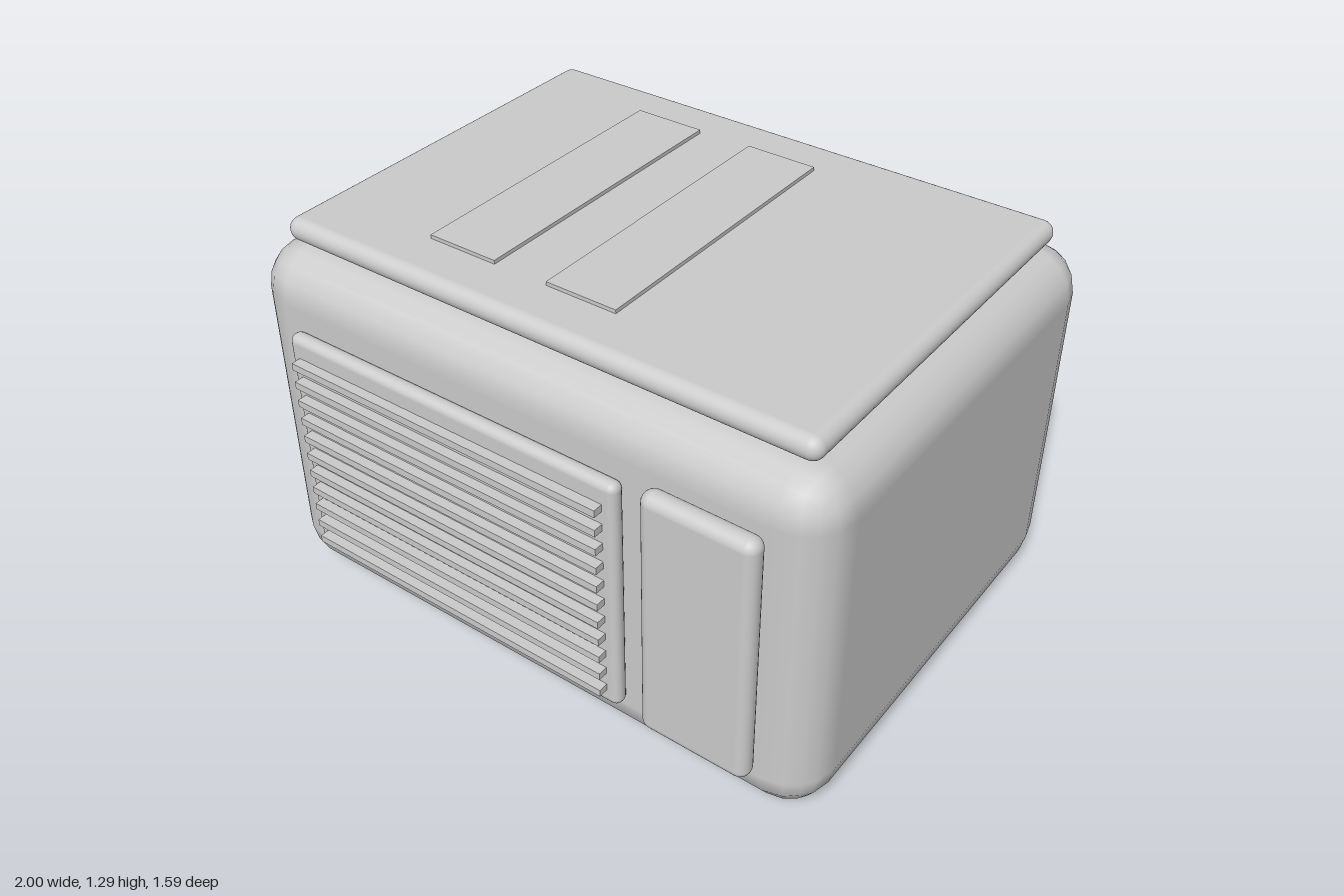
import * as THREE from 'three';
import { RoundedBoxGeometry } from 'three/addons/geometries/RoundedBoxGeometry.js';

const material = new THREE.MeshStandardMaterial({ color: 0xcccccc });

// Adds a box spanning [min, max] on each axis; a radius rounds its edges.
function addBox(parent, name, [x0, x1], [y0, y1], [z0, z1], radius = 0, segments = 2) {
  const size = [x1 - x0, y1 - y0, z1 - z0];
  const geometry = radius
    ? new RoundedBoxGeometry(...size, segments, radius)
    : new THREE.BoxGeometry(...size);
  const mesh = new THREE.Mesh(geometry, material);
  mesh.name = name;
  mesh.position.set((x0 + x1) / 2, (y0 + y1) / 2, (z0 + z1) / 2);
  parent.add(mesh);
  return mesh;
}

export function createModel() {
  const model = new THREE.Group();
  model.name = 'applianceBox';

  // Housing and overlapping lid
  addBox(model, 'body', [-1, 1], [0, 1.2], [-0.795, 0.705], 0.15, 2);
  addBox(model, 'lid', [-0.908, 0.908], [1.2, 1.275], [-0.705, 0.615], 0.0375, 4);

  // Two long plates on the lid
  for (const x of [-0.483, -0.06]) {
    addBox(model, 'topPlate', [x, x + 0.238], [1.265, 1.287], [-0.54, 0.447]);
  }

  // Front grille: backing panel with horizontal slats
  const grille = new THREE.Group();
  grille.name = 'grille';
  model.add(grille);
  addBox(grille, 'grillePanel', [-0.8, 0.4], [0.175, 0.988], [0.702, 0.754], 0.025, 3);
  const slatCount = 11;
  for (let i = 0; i < slatCount; i++) {
    const y = 0.243 + i * 0.0664;
    addBox(grille, 'slat', [-0.76, 0.36], [y - 0.012, y + 0.012], [0.745, 0.786]);
  }

  // Control panel standing just clear of the front
  addBox(model, 'controlPanel', [0.5, 0.855], [0.205, 1.053], [0.725, 0.795], 0.034, 4);

  return model;
}
